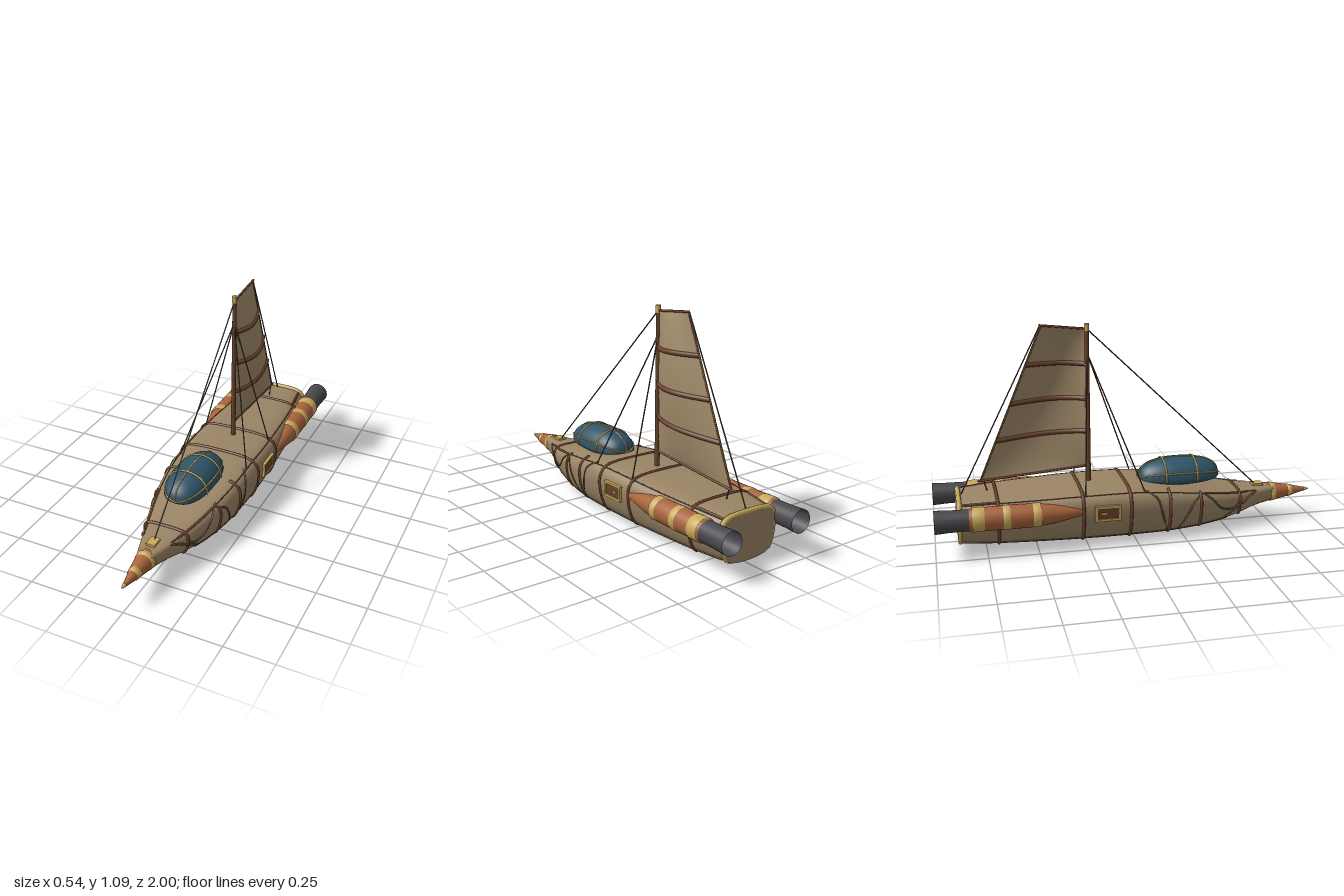
import * as THREE from 'three';

const mat = (name, color, side = THREE.FrontSide) => {
  const m = new THREE.MeshStandardMaterial({ color, side });
  m.name = name;
  return m;
};

// Hull stations: z, half width, deck height, keel height
const STATIONS = [
  [-0.88, 0.16, 0.25, 0.015], [-0.7, 0.19, 0.262, 0.01], [-0.5, 0.212, 0.27, 0.008], [-0.25, 0.226, 0.278, 0.006],
  [0, 0.225, 0.277, 0.006], [0.2, 0.21, 0.255, 0.01], [0.4, 0.17, 0.222, 0.025], [0.55, 0.125, 0.197, 0.05],
  [0.67, 0.082, 0.187, 0.082], [0.79, 0.042, 0.182, 0.1],
];
// Half cross-section from deck centre round to keel centre
const SECTION = new THREE.SplineCurve([
  [0, 1], [0.45, 0.995], [0.76, 0.96], [0.93, 0.87], [1, 0.71], [0.98, 0.48], [0.9, 0.25], [0.76, 0.09], [0.45, 0.02], [0, 0],
].map(p => new THREE.Vector2(...p)));

// Smooth interpolation of one station column at z
function station(z, col) {
  const S = STATIONS, n = S.length;
  let i = 0;
  while (i < n - 2 && z > S[i + 1][0]) i++;
  const slope = k => {
    const a = S[Math.max(k - 1, 0)], b = S[Math.min(k + 1, n - 1)];
    return (b[col] - a[col]) / (b[0] - a[0]);
  };
  const h = S[i + 1][0] - S[i][0], t = (z - S[i][0]) / h, t2 = t * t, t3 = t2 * t;
  return (2 * t3 - 3 * t2 + 1) * S[i][col] + (t3 - 2 * t2 + t) * h * slope(i)
    + (3 * t2 - 2 * t3) * S[i + 1][col] + (t3 - t2) * h * slope(i + 1);
}

// Point on the hull: s = 0 deck centre, 1 keel centre; beyond 0..1 is the mirrored side
function hullPoint(z, s, drop = 0) {
  s = ((s % 2) + 2) % 2;
  const sign = s > 1 ? -1 : 1;
  const p = SECTION.getPoint(s > 1 ? 2 - s : s);
  const top = station(z, 2), bottom = station(z, 3);
  return new THREE.Vector3(sign * p.x * station(z, 1), bottom + p.y * (top - bottom) - drop, z);
}

// Point on the canopy: a runs rear to front (0..PI), tilt turns from the crown towards +x
function canopyPoint(a, tilt, grow = 1) {
  const c = Math.cos(a), s = Math.max(Math.sin(a), 0), up = Math.cos(tilt);
  return new THREE.Vector3(
    grow * 0.113 * Math.pow(s, 0.7) * Math.sin(tilt),
    0.274 + grow * (up > 0 ? 0.1 : 0.042) * Math.pow(s, 0.8) * up,
    0.262 - grow * 0.213 * Math.sign(c) * Math.pow(Math.abs(c), 0.9));
}

// Grid surface from a function of u and v
function grid(fn, nu, nv) {
  const pos = [], index = [];
  for (let i = 0; i <= nu; i++) for (let j = 0; j <= nv; j++) pos.push(...fn(i / nu, j / nv).toArray());
  for (let i = 0; i < nu; i++) for (let j = 0; j < nv; j++) {
    const a = i * (nv + 1) + j, b = a + nv + 1;
    index.push(a, b, a + 1, b, b + 1, a + 1);
  }
  const g = new THREE.BufferGeometry();
  g.setAttribute('position', new THREE.Float32BufferAttribute(pos, 3));
  g.setIndex(index);
  g.computeVertexNormals();
  return g;
}

export function createModel() {
  const model = new THREE.Group();
  model.name = 'sailingAirship';
  const canvas = mat('canvas', 0x9a8465), sailCloth = mat('sailCloth', 0xa08a69, THREE.DoubleSide);
  const leather = mat('leather', 0x6b412c), copper = mat('copper', 0xa8643c), brass = mat('brass', 0xc9aa5c);
  const iron = mat('iron', 0x48484d, THREE.DoubleSide), glass = mat('glass', 0x2f5468);
  const panelBlue = mat('panelBlue', 0x4a7cb0), rope = mat('rope', 0x594b37);

  const add = (name, geo, material, parent = model) => {
    const m = new THREE.Mesh(geo, material);
    m.name = name;
    parent.add(m);
    return m;
  };
  const V = (x, y, z) => new THREE.Vector3(x, y, z);
  const tube = (name, pts, r, material, seg = 40) =>
    add(name, new THREE.TubeGeometry(new THREE.CatmullRomCurve3(pts), pts.length === 2 ? 1 : seg, r, 8), material);
  const along = (n, fn) => Array.from({ length: n + 1 }, (_, i) => fn(i / n));
  const lerp = THREE.MathUtils.lerp;
  // Turned part along z from [radius, z] pairs, rear to front
  const turned = (name, pts, material, x, y) => {
    const g = new THREE.LatheGeometry(pts.map(p => new THREE.Vector2(...p)), 28).rotateX(Math.PI / 2);
    return add(name, g.translate(x, y, 0), material);
  };

  // Hull: canvas upper, copper underside sweeping up to the nose
  const split = z => 0.78 - 0.13 * THREE.MathUtils.smoothstep(z, 0.45, 0.79);
  const hullZ = u => lerp(-0.88, 0.79, u);
  add('hullUpper', grid((u, v) => hullPoint(hullZ(u), lerp(-1, 1, v) * split(hullZ(u))), 60, 48), canvas);
  add('hullUnderside', grid((u, v) => {
    const z = hullZ(u), s = split(z);
    return hullPoint(z, lerp(s, 2 - s, v));
  }, 60, 20), copper);
  const rim = along(48, t => hullPoint(-0.88, t * 2));
  add('transom', new THREE.ShapeGeometry(new THREE.Shape(rim.map(p => new THREE.Vector2(p.x, p.y))))
    .rotateY(Math.PI).translate(0, 0, -0.886), canvas);
  tube('transomRim', along(36, t => hullPoint(-0.876, lerp(-0.36, 0.36, t))), 0.013, brass, 80);
  for (const side of [1, -1]) tube('transomSideRim', along(12, t => hullPoint(-0.878, side * lerp(0.36, 0.76, t))), 0.009, brass);

  // Straps round the hull, ending at the chine; some stop at the canopy edge
  for (const [z, gap] of [[-0.69, 0], [-0.275, 0], [-0.035, 0], [0.17, 0.2], [0.34, 0.24], [0.57, 0]]) {
    for (const side of [1, -1]) {
      tube('hullStrap', along(20, t => hullPoint(z, side * lerp(gap, 0.8, t))), 0.008, leather, 50);
    }
  }

  // Copper keel frame with blue panels between
  const bays = [0.53, 0.34, 0.17, -0.035, -0.275, -0.48, -0.69, -0.87];
  tube('keelBeam', along(16, t => hullPoint(lerp(-0.87, 0.75, t), 1)), 0.007, copper);
  for (const z of bays) tube('keelCrossbar', along(12, t => hullPoint(z, lerp(0.8, 1.2, t))), 0.006, copper);
  for (let i = 0; i < bays.length - 1; i++) for (const [s0, s1] of [[0.845, 0.965], [1.035, 1.155]]) {
    add('keelPanel', grid((u, v) => hullPoint(lerp(bays[i + 1] + 0.035, bays[i] - 0.035, u), lerp(s0, s1, v), 0.004), 6, 6), panelBlue);
  }

  for (const side of [1, -1]) {
    const line = (name, pts, r, m) => tube(name, pts.map(([z, s]) => hullPoint(z, s * side)), r, m);
    const run = (z0, z1, s) => along(16, t => [lerp(z0, z1, t), s]);
    // Lengthwise seams and rails
    line('deckSeam', run(-0.86, 0.66, 0.27), 0.003, leather);
    line('deckStrap', run(-0.86, -0.68, 0.25), 0.006, leather);
    line('bowStrap', run(0.36, 0.62, 0.27), 0.006, leather);
    line('chineRail', run(-0.86, 0.5, 0.755), 0.005, leather);
    // Ropes and straps draped over the bow quarters
    line('drapedRope', [[0.05, 0.24], [0.1, 0.36], [0.13, 0.55], [0.16, 0.74]], 0.005, rope);
    line('drapedRope', [[0.35, 0.28], [0.3, 0.42], [0.26, 0.58], [0.22, 0.74]], 0.005, rope);
    line('drapedRope', [[0.36, 0.28], [0.4, 0.38], [0.46, 0.54], [0.53, 0.58], [0.58, 0.42]], 0.005, rope);
    line('bowSideStrap', [[0.67, 0.3], [0.63, 0.42], [0.57, 0.56], [0.48, 0.72]], 0.006, leather);

    // Side hatch
    const hatch = new THREE.Group();
    hatch.name = 'sideHatch';
    hatch.position.set(side * 0.225, 0.176, -0.157);
    for (const e of [1, -1]) {
      add('hatchFrameRail', new THREE.BoxGeometry(0.028, 0.012, 0.13), brass, hatch).position.y = e * 0.034;
      add('hatchFramePost', new THREE.BoxGeometry(0.028, 0.068, 0.012), brass, hatch).position.z = e * 0.059;
    }
    add('hatchDoor', new THREE.BoxGeometry(0.02, 0.06, 0.11), leather, hatch);
    add('hatchHandle', new THREE.BoxGeometry(0.026, 0.008, 0.025), brass, hatch).position.z = -0.02;
    model.add(hatch);

    // Thruster pod with bands and open pipe
    const px = side * 0.208, py = 0.188;
    turned('podBody', [[0.053, -0.835], [0.058, -0.81], [0.059, -0.6], [0.058, -0.52], [0.046, -0.42], [0.031, -0.34], [0.021, -0.28], [0.001, -0.262]], copper, px, py);
    for (const [z0, z1, r] of [[-0.82, -0.762, 0.0605], [-0.672, -0.637, 0.0605], [-0.527, -0.487, 0.0595]]) {
      turned('podBand', [[0.05, z0], [r, z0], [r, z1], [0.05, z1]], brass, px, py);
    }
    turned('exhaustPipe', [[0.058, -1], [0.054, -0.93], [0.053, -0.826]], iron, px, py);
  }

  // Nose cone
  turned('noseCone', [[0.05, 0.755], [0.046, 0.8], [0.033, 0.87], [0.017, 0.94], [0.008, 0.98]], copper, 0, 0.14);
  for (const [z, r] of [[0.785, 0.052], [0.885, 0.034]]) {
    turned('noseBand', [[r - 0.015, z - 0.013], [r, z - 0.013], [r - 0.004, z + 0.013], [r - 0.015, z + 0.013]], brass, 0, 0.14);
  }
  turned('noseTip', [[0.0, 0.97], [0.011, 0.97], [0.008, 0.983], [0.001, 1]], brass, 0, 0.14);
  add('bowCleat', new THREE.BoxGeometry(0.046, 0.014, 0.06), brass).position.set(0, 0.19, 0.7);

  // Glass canopy with brass ribs
  add('canopy', grid((u, v) => canopyPoint(Math.PI * u, 2 * Math.PI * v), 32, 40), glass);
  for (const a of [1.2, 1.9]) {
    tube('canopyRib', along(20, t => canopyPoint(a, lerp(-1.75, 1.75, t), 1.01)), 0.005, brass);
  }
  for (const tilt of [-1.2, 0, 1.2]) {
    tube('canopySpine', along(24, t => canopyPoint(Math.PI * t, tilt, 1.005)), 0.004, brass);
  }

  // Mast with brass cap
  const mastZ = -0.213;
  add('mast', new THREE.CylinderGeometry(0.011, 0.013, 0.81, 14), leather).position.set(0, 0.655, mastZ);
  add('mastCap', new THREE.CylinderGeometry(0.013, 0.013, 0.036, 14), brass).position.set(0, 1.068, mastZ);

  // Sail billowing to one side, with spars and battens following it
  const sailPoint = (u, v) => V(
    0.058 * Math.sin(Math.PI * Math.pow(u, 0.8)) * Math.pow(Math.max(Math.sin(Math.PI * v), 0), 0.8),
    lerp(lerp(0.355, 1.06, v), lerp(0.315, 1.083, v), u),
    lerp(-0.222, lerp(-0.76, -0.44, v), u));
  add('sail', grid(sailPoint, 24, 24), sailCloth);
  for (const v of [0.26, 0.5, 0.75]) tube('sailBatten', along(16, t => sailPoint(t, v)), 0.012, leather);
  tube('gaff', [V(0, 1.06, mastZ), V(0, 1.085, -0.45)], 0.006, leather);
  tube('boom', [V(0, 0.356, mastZ), V(0, 0.311, -0.775)], 0.006, leather);
  tube('leechEdge', [sailPoint(1, 0), sailPoint(1, 1)], 0.005, leather);

  // Rigging
  const stays = [
    [V(0, 1.06, mastZ), V(0, 0.19, 0.69)], [V(0, 1.083, -0.445), V(0, 0.25, -0.86)],
    [V(0, 0.31, -0.745), V(0, 0.26, -0.73)],
  ];
  for (const side of [1, -1]) for (const z of [0.04, -0.26]) stays.push([V(0, 0.94, mastZ), V(side * 0.188, 0.26, z)]);
  for (const s of stays) tube('stay', s, 0.0033, rope);

  return model;
}
